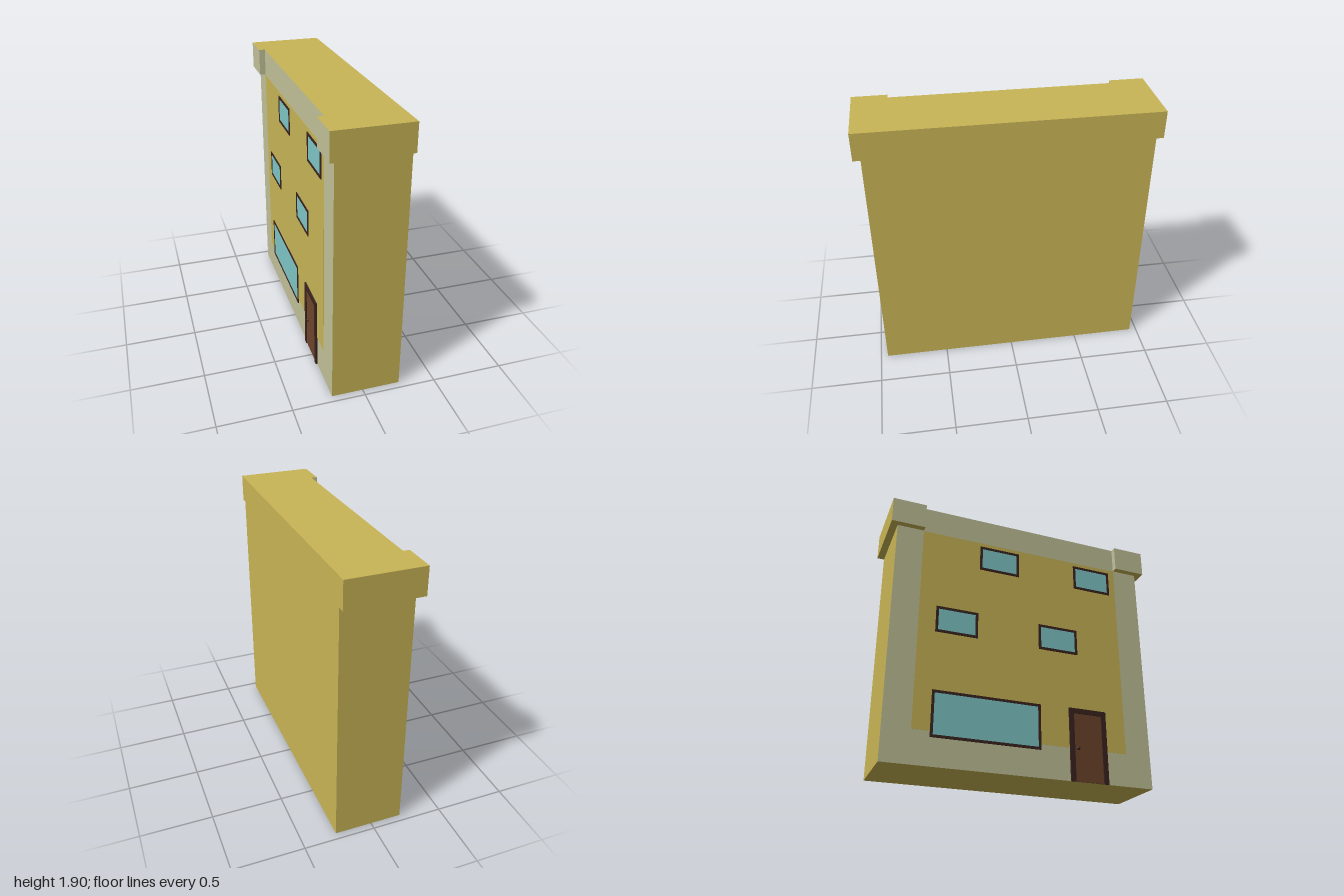
import * as THREE from 'three';

const paint = (color) => new THREE.MeshStandardMaterial({ color });

export function createModel() {
  const model = new THREE.Group();
  const gold = paint(0xc9b656), stone = paint(0xc3c39b), glass = paint(0x7fc8c8);
  const frameWood = paint(0x3a2420), doorWood = paint(0x6e452d);

  // Box given by its extents on each axis
  function box(parent, name, [x0, x1], [y0, y1], [z0, z1], material) {
    const mesh = new THREE.Mesh(new THREE.BoxGeometry(x1 - x0, y1 - y0, z1 - z0), material);
    mesh.position.set((x0 + x1) / 2, (y0 + y1) / 2, (z0 + z1) / 2);
    mesh.name = name;
    parent.add(mesh);
    return mesh;
  }
  // Gold box whose listed sides are stone (order +x -x +y -y +z -z)
  const sides = (...grey) => [0, 1, 2, 3, 4, 5].map((i) => (grey.includes(i) ? stone : gold));

  const wall = -0.217, back = 0.26, cornice = -0.26, eave = 1.715, top = 1.905;

  // Main building; the street facade faces -x
  box(model, 'buildingBody', [wall, back], [0, eave], [-0.95, 0.95], sides(1));
  box(model, 'facadePanel', [wall - 0.001, wall + 0.01], [0.23, 1.71], [-0.76, 0.76], gold);

  // Cornice: flush in the middle, projecting at both ends
  box(model, 'corniceMiddle', [wall, back], [eave, top], [-0.76, 0.76], sides(1));
  box(model, 'corniceFrontEnd', [cornice, back], [eave, top], [0.76, 1], sides(1, 5));
  box(model, 'corniceBackEnd', [cornice, back], [eave, top], [-1, -0.76], sides(1, 4));

  // Raised border around an opening, filled with a thin pane
  function framed(name, [y0, y1], [z0, z1], border, depth, fill, hasSill) {
    const group = new THREE.Group();
    group.name = name;
    const x = [wall - depth, wall + 0.005];
    const inner = hasSill ? y0 + border : y0;
    box(group, 'frameTop', x, [y1 - border, y1], [z0, z1], frameWood);
    if (hasSill) box(group, 'frameSill', x, [y0, inner], [z0, z1], frameWood);
    for (const z of [z0, z1 - border]) {
      box(group, 'frameSide', x, [inner, y1 - border], [z, z + border], frameWood);
    }
    box(group, 'pane', [wall - depth * 0.5, wall + 0.005], [inner, y1 - border],
      [z0 + border, z1 - border], fill);
    model.add(group);
    return group;
  }

  // Upper windows as [bottom, start along z]
  for (const [y, z] of [[0.93, -0.64], [0.93, 0.115], [1.485, -0.335], [1.485, 0.41]]) {
    framed('upperWindow', [y, y + 0.195], [z, z + 0.3], 0.018, 0.006, glass, true);
  }
  framed('shopWindow', [0.19, 0.51], [-0.64, 0.12], 0.018, 0.006, glass, true);

  // Door with a small round knob
  const door = framed('door', [0, 0.515], [0.33, 0.61], 0.036, 0.012, doorWood, false);
  const knob = new THREE.Mesh(new THREE.SphereGeometry(0.013, 16, 12), frameWood);
  knob.name = 'doorKnob';
  knob.position.set(wall - 0.006, 0.23, 0.392);
  door.add(knob);

  return model;
}
